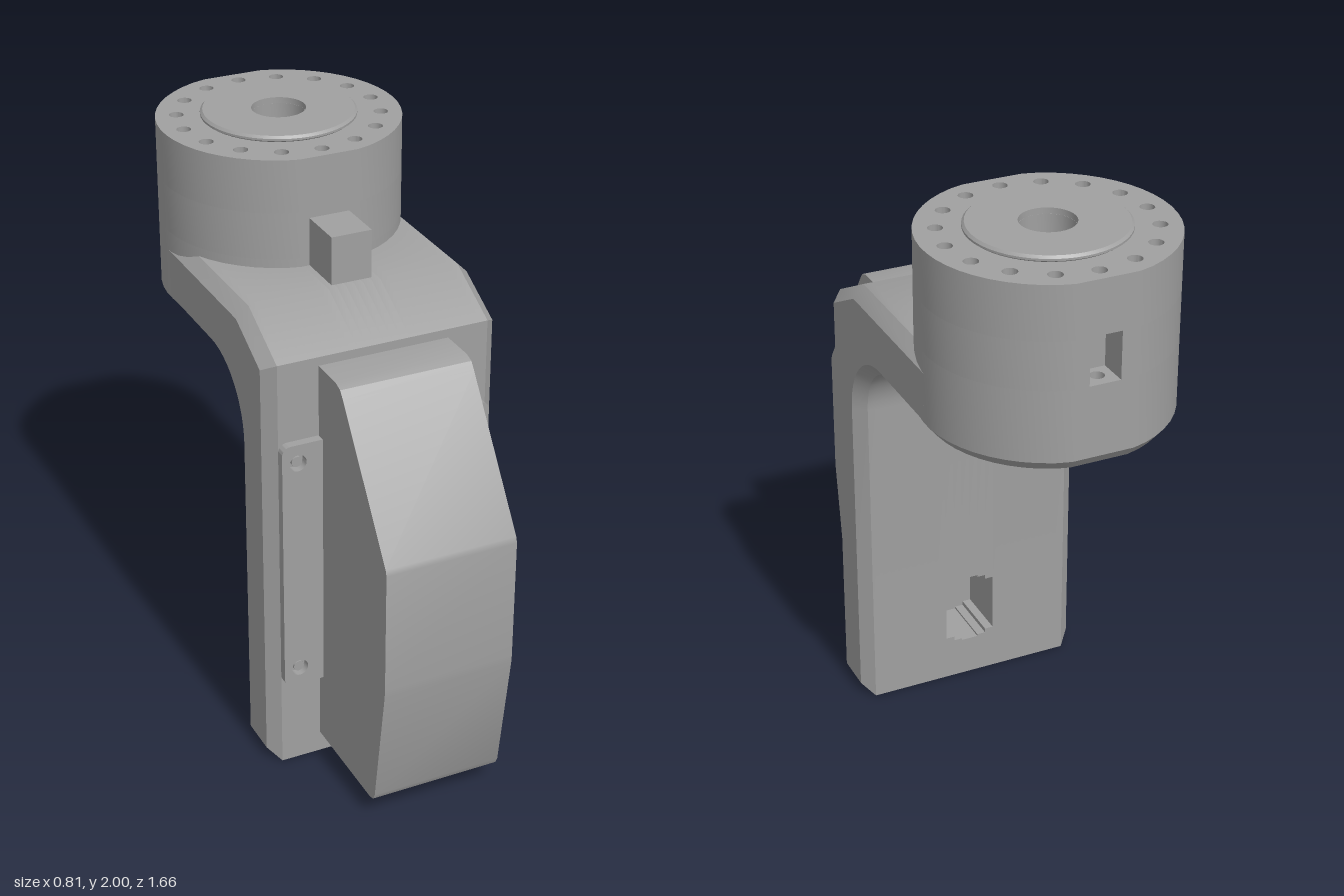
import * as THREE from 'three';
import { toCreasedNormals } from 'three/addons/utils/BufferGeometryUtils.js';

const HUB_Z = -0.44, HUB_R = 0.405;

export function createModel() {
  const model = new THREE.Group();
  const grey = new THREE.MeshStandardMaterial({ color: 0xa0a0a0 });
  grey.name = 'machined grey';

  const add = (name, geometry, x = 0, y = 0, z = 0) => {
    const mesh = new THREE.Mesh(toCreasedNormals(geometry, 0.5), grey);
    mesh.name = name;
    mesh.position.set(x, y, z);
    model.add(mesh);
    return mesh;
  };
  const circle = (x, y, r) => new THREE.Path().absarc(x, y, r, 0, Math.PI * 2);
  const moveVertices = (geometry, rule) => {
    const p = geometry.attributes.position, v = new THREE.Vector3();
    for (let i = 0; i < p.count; i++) {
      rule(v.fromBufferAttribute(p, i));
      p.setXYZ(i, v.x, v.y, v.z);
    }
    return geometry;
  };
  // Side profile given as [z, y] pairs, extruded along x
  const sideExtrude = (points, x0, x1, options = {}) => {
    const shape = new THREE.Shape(points.map(([z, y]) => new THREE.Vector2(-z, y)));
    return new THREE.ExtrudeGeometry(shape, { depth: x1 - x0, bevelEnabled: false, ...options })
      .rotateY(Math.PI / 2).translate(x0, 0, 0);
  };
  // Plan shape (x, -z) extruded upward
  const planExtrude = (shape, depth) =>
    new THREE.ExtrudeGeometry(shape, { depth, bevelEnabled: false, curveSegments: 10 });
  const roundedRect = (x0, x1, y0, y1, r) => {
    const s = new THREE.Shape();
    s.absarc(x1 - r, y0 + r, r, -Math.PI / 2, 0);
    s.absarc(x1 - r, y1 - r, r, 0, Math.PI / 2);
    s.absarc(x0 + r, y1 - r, r, Math.PI / 2, Math.PI);
    s.absarc(x0 + r, y0 + r, r, Math.PI, Math.PI * 1.5);
    return s;
  };

  // Bracket profile, with an optional rear pocket and a groove in the inner bend
  const bracketProfile = (pocket, groove) => {
    const pts = [[0.35, 0], [0.35, 1.5], [0.14, 1.61], [-0.47, 1.61], [-0.47, 1.365]];
    for (let i = 12; i >= 0; i--) {
      const a = (i / 12) * Math.PI / 2;
      const r = 0.215 + (groove && i > 2 ? 0.09 : 0);
      pts.push([-0.08 + r * Math.cos(a), 1.15 + r * Math.sin(a)]);
    }
    if (pocket) {
      pts.push([0.135, 0.27 + pocket], [0.33, 0.27 + pocket],
        [0.33, 0.27 - pocket], [0.135, 0.27 - pocket]);
    }
    pts.push([0.135, 0]);
    return pts;
  };
  // The bracket stops at the curved wall of the hub
  const stopAtHub = v => {
    v.z = Math.max(v.z, HUB_Z + Math.sqrt(Math.max(0, 0.378 ** 2 - v.x ** 2)));
  };
  const chamfer = {
    bevelEnabled: true, bevelSize: 0.04, bevelThickness: 0.04,
    bevelOffset: -0.04, bevelSegments: 1, steps: 10,
  };
  for (const side of [-1, 1]) {
    const [x0, x1] = side > 0 ? [0.09, 0.365] : [-0.365, -0.09];
    const g = sideExtrude(bracketProfile(0, false), x0, x1, chamfer);
    add(side > 0 ? 'bracketLeft' : 'bracketRight', moveVertices(g, v => {
      v.x = side * Math.max(0.09, side * v.x);
      stopAtHub(v);
    }));
  }
  for (let i = -3; i < 3; i++) {
    const x0 = i * 0.03, mid = x0 + 0.015;
    const profile = bracketProfile(Math.sqrt(0.13 ** 2 - mid ** 2), Math.abs(mid) < 0.06);
    add('bracketCentre', moveVertices(sideExtrude(profile, x0, x0 + 0.03), stopAtHub));
  }

  // Hub plan: circle with front and back flats, centre bore and a ring of bolt holes
  const hubPlan = slot => {
    const pts = [], gap = 0.128;
    for (let i = 0; i <= 48; i++) {
      const a = Math.PI / 2 + gap + (i / 48) * (Math.PI * 2 - gap * 2);
      pts.push(new THREE.Vector2(HUB_R * Math.cos(a),
        THREE.MathUtils.clamp(HUB_R * Math.sin(a), -0.39, 0.39)));
    }
    if (slot) pts.push(new THREE.Vector2(0.05, 0.29), new THREE.Vector2(-0.05, 0.29));
    const shape = new THREE.Shape(pts);
    shape.holes.push(circle(0, 0, 0.09));
    for (let i = 0; i < 16; i++) {
      if (slot && i === 4) continue;
      const a = i * Math.PI / 8;
      shape.holes.push(circle(0.335 * Math.cos(a), 0.335 * Math.sin(a), 0.024));
    }
    return shape;
  };
  const hubLayers = [
    ['hubChamfer', 1.365, 1.4, false], ['hubLower', 1.4, 1.64, false],
    ['hubSlotLayer', 1.64, 1.8, true], ['hubUpper', 1.8, 1.98, false],
  ];
  for (const [name, y0, y1, slot] of hubLayers) {
    const g = planExtrude(hubPlan(slot), y1 - y0);
    if (name === 'hubChamfer') {
      moveVertices(g, v => {
        if (v.z < 0.001 && Math.hypot(v.x, v.y) > 0.365) { v.x *= 0.93; v.y *= 0.93; }
      });
    }
    add(name, g.rotateX(-Math.PI / 2), 0, y0, HUB_Z);
  }

  // Raised rotary flange on top of the hub
  const flange = [[0.09, 1.975], [0.245, 1.975], [0.258, 1.985], [0.258, 1.992],
    [0.25, 2], [0.09, 2], [0.09, 1.975]].map(([r, y]) => new THREE.Vector2(r, y));
  add('topFlange', new THREE.LatheGeometry(flange, 48), 0, 0, HUB_Z);

  // Key block in front of the hub
  add('keyBlock', new THREE.BoxGeometry(0.14, 0.205, 0.195), 0, 1.6725, 0.0175);

  // Plate under the hub with four screw holes
  const plate = roundedRect(-0.2, 0.2, 0.09, 0.635, 0.06);
  for (const x of [-0.11, 0.11]) {
    for (const y of [0.22, 0.5]) plate.holes.push(circle(x, y, 0.025));
  }
  add('underPlate', planExtrude(plate, 0.027).rotateX(-Math.PI / 2), 0, 1.34, 0);

  // Angular front cover
  add('frontCover', sideExtrude([
    [0.345, 0.075], [0.735, 0.075], [0.757, 0.083], [0.768, 0.105], [0.83, 0.53], [0.832, 0.56],
    [0.832, 0.98], [0.826, 1.0], [0.525, 1.435], [0.505, 1.46], [0.475, 1.47], [0.345, 1.47],
  ], -0.225, 0.225));

  // Cover mounting flanges with recessed screws
  for (const side of [-1, 1]) {
    const [x0, x1] = side > 0 ? [0.2, 0.365] : [-0.365, -0.2];
    const shape = roundedRect(x0, x1, 0.32, 1.225, 0.03);
    for (const y of [0.385, 1.16]) {
      shape.holes.push(circle(side * 0.31, y, 0.029));
      add('flangeScrew', new THREE.CylinderGeometry(0.018, 0.018, 0.025, 16).rotateX(Math.PI / 2),
        side * 0.31, y, 0.358);
    }
    add('coverFlange', planExtrude(shape, 0.035), 0, 0, 0.345);
  }

  return model;
}
